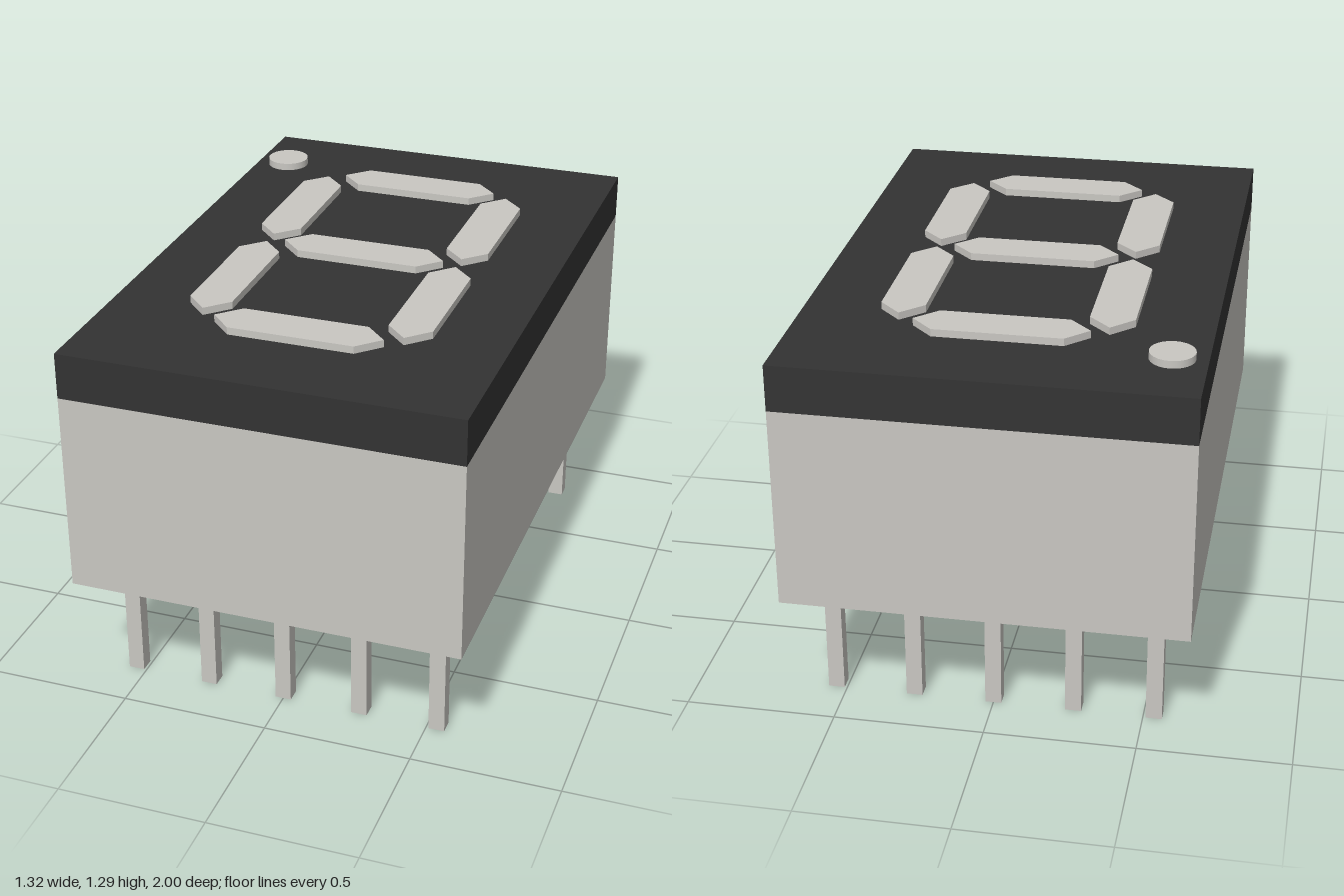
import * as THREE from 'three';

export function createModel() {
  const model = new THREE.Group();
  model.name = 'sevenSegmentDisplay';
  const paleGrey = new THREE.MeshStandardMaterial({ color: 0xc9c7c2 });
  paleGrey.name = 'pale grey';
  const charcoal = new THREE.MeshStandardMaterial({ color: 0x333333 });
  charcoal.name = 'charcoal';

  const add = (name, geometry, material, x, y, z) => {
    const mesh = new THREE.Mesh(geometry, material);
    mesh.name = name;
    mesh.position.set(x, y, z);
    model.add(mesh);
    return mesh;
  };

  const pinTop = 0.425, bodyTop = 1.11, faceTop = 1.265, raised = 0.025;

  // Housing and dark face
  add('body', new THREE.BoxGeometry(1.324, bodyTop - pinTop, 2), paleGrey, 0, (bodyTop + pinTop) / 2, 0);
  add('facePlate', new THREE.BoxGeometry(1.324, faceTop - bodyTop, 2), charcoal, 0, (faceTop + bodyTop) / 2, 0);

  // Two rows of five pins
  const pinGeometry = new THREE.BoxGeometry(0.054, pinTop, 0.05);
  for (const z of [-0.802, 0.802]) {
    for (let i = -2; i <= 2; i++) add('pin', pinGeometry, paleGrey, i * 0.268, pinTop / 2, z);
  }

  // Pointed bar, laid flat with its long axis along x
  const half = 0.283, w = 0.073;
  const bar = new THREE.Shape([
    [-half, 0], [-half + w, -w], [half - w, -w], [half, 0], [half - w, w], [-half + w, w],
  ].map(([x, y]) => new THREE.Vector2(x, y)));
  const barGeometry = new THREE.ExtrudeGeometry(bar, { depth: raised, bevelEnabled: false });
  barGeometry.rotateX(-Math.PI / 2);

  // Three cross bars and four upright bars
  for (const z of [-0.634, -0.002, 0.63]) add('crossSegment', barGeometry, paleGrey, 0, faceTop, z);
  for (const x of [-0.337, 0.337]) {
    for (const z of [-0.318, 0.314]) {
      add('uprightSegment', barGeometry, paleGrey, x, faceTop, z).rotation.y = Math.PI / 2;
    }
  }

  // Decimal point
  add('decimalPoint', new THREE.CylinderGeometry(0.073, 0.073, raised, 24), paleGrey, -0.549, faceTop + raised / 2, -0.738);
  return model;
}
